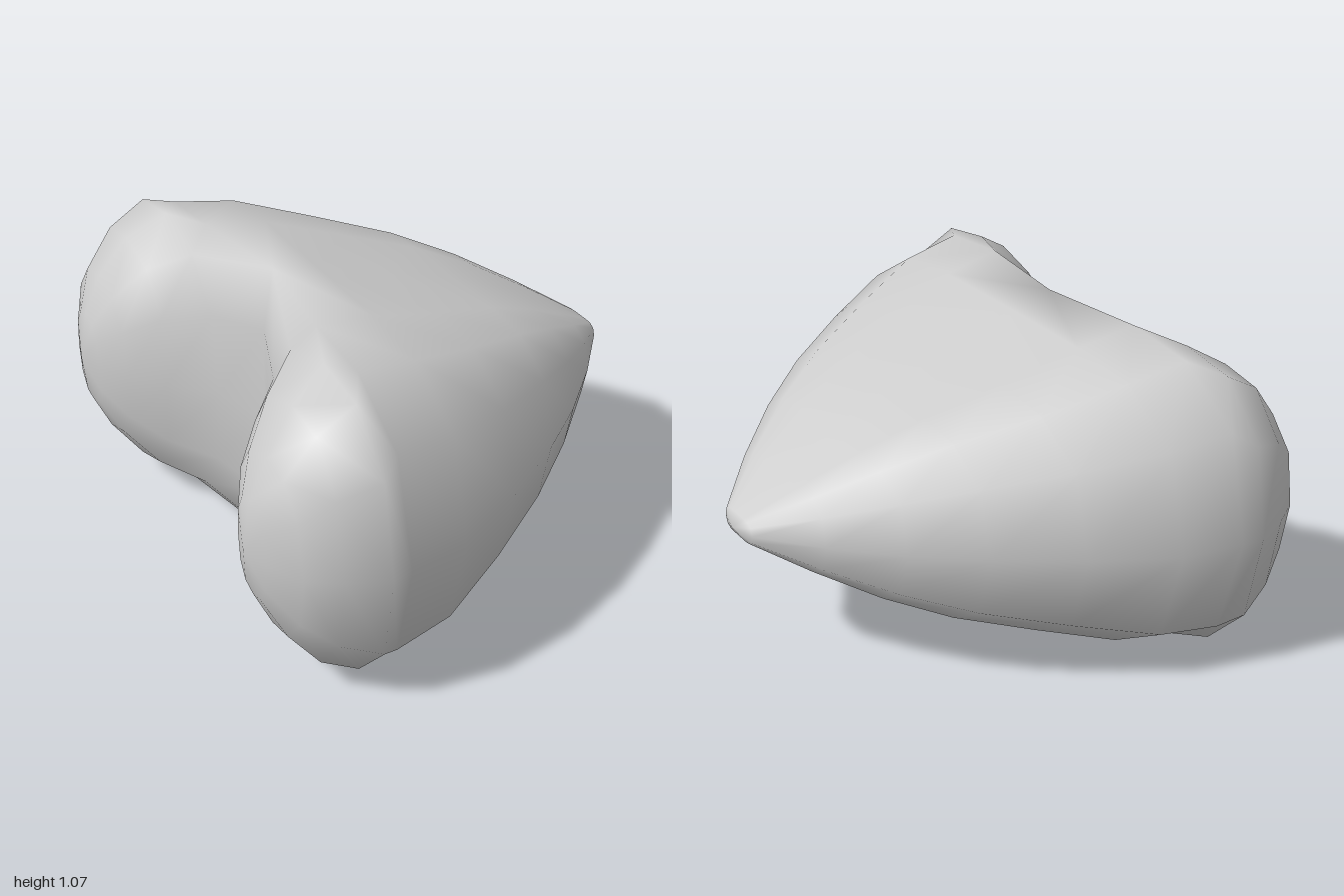
import * as THREE from 'three';
import { mergeVertices } from 'three/addons/utils/BufferGeometryUtils.js';

const MID = 0.535; // height of the horizontal symmetry plane

// Rounded half section (z, y), from the centre top over the outside to the centre bottom
const HALF = [[0, 1], [0.4, 1], [0.67, 0.95], [0.91, 0.66], [1, 0],
  [0.91, -0.66], [0.67, -0.95], [0.4, -1], [0, -1]];
// Closed lobe section in the same order, then three points up the inner side
const LOBE = [[-0.6, 0.88], [-0.05, 1], [0.45, 0.94], [0.86, 0.6], [1, 0],
  [0.86, -0.6], [0.45, -0.94], [-0.05, -1], [-0.6, -0.88],
  [-0.92, -0.55], [-1, 0], [-0.92, 0.55]];

// Body stations from the tip backwards: x, half width, half height
const BODY = [[0.84, 0, 0], [0.815, 0.09, 0.04], [0.655, 0.28, 0.14], [0.47, 0.465, 0.245],
  [0.27, 0.63, 0.335], [0.02, 0.8, 0.415], [-0.24, 0.945, 0.5]];
// Lobe stations: x, inner z, outer z, half height
const LOBES = [[-0.52, 0.2, 1, 0.515], [-0.65, 0.34, 0.94, 0.435],
  [-0.75, 0.45, 0.875, 0.3], [-0.81, 0.56, 0.75, 0.17], [-0.838, 0.655, 0.655, 0]];

function buildRings() {
  const rings = BODY.map(([x, w, h]) => HALF.map(([z, y]) => [x, MID + y * h, z * w]));
  // Ring at the notch: its inner side is a wall on the centre plane
  const notch = HALF.map(([z, y], i) => [i % 8 === 0 ? -0.4 : -0.45, MID + y * 0.535, z * 0.985]);
  for (const y of [-0.6, 0, 0.6]) notch.push([-0.45 + Math.abs(y) * 0.02, MID + y * 0.535, 0]);
  rings.push(notch);
  for (const [x, zi, zo, h] of LOBES) {
    const c = (zi + zo) / 2, w = (zo - zi) / 2;
    rings.push(LOBE.map(([z, y]) => [x, MID + y * h, c + z * w]));
  }
  return rings;
}

function heartGeometry() {
  const rings = buildRings();
  const pos = [];
  const same = (p, q) => p.every((v, k) => Math.abs(v - q[k]) < 1e-6);
  for (const side of [1, -1]) {
    const tri = (a, b, c) => {
      if (same(a, b) || same(b, c) || same(a, c)) return;
      for (const p of side > 0 ? [a, b, c] : [a, c, b]) pos.push(p[0], p[1], p[2] * side + 0);
    };
    for (let s = 0; s < rings.length - 1; s++) {
      const A = rings[s], B = rings[s + 1];
      const closed = A.length === 12;
      for (let i = 0; i < (closed ? 12 : 8); i++) {
        const j = (i + 1) % 12;
        tri(A[i], B[i], A[j]);
        tri(A[j], B[i], B[j]);
      }
    }
  }
  const g = new THREE.BufferGeometry();
  g.setAttribute('position', new THREE.Float32BufferAttribute(pos, 3));
  const welded = mergeVertices(g, 1e-4);
  welded.computeVertexNormals();
  return welded;
}

export function createModel() {
  const group = new THREE.Group();
  group.name = 'heart';
  const grey = new THREE.MeshStandardMaterial({ color: 0xcccccc });
  grey.name = 'light grey';
  const body = new THREE.Mesh(heartGeometry(), grey);
  body.name = 'heartBody';
  group.add(body);
  return group;
}
